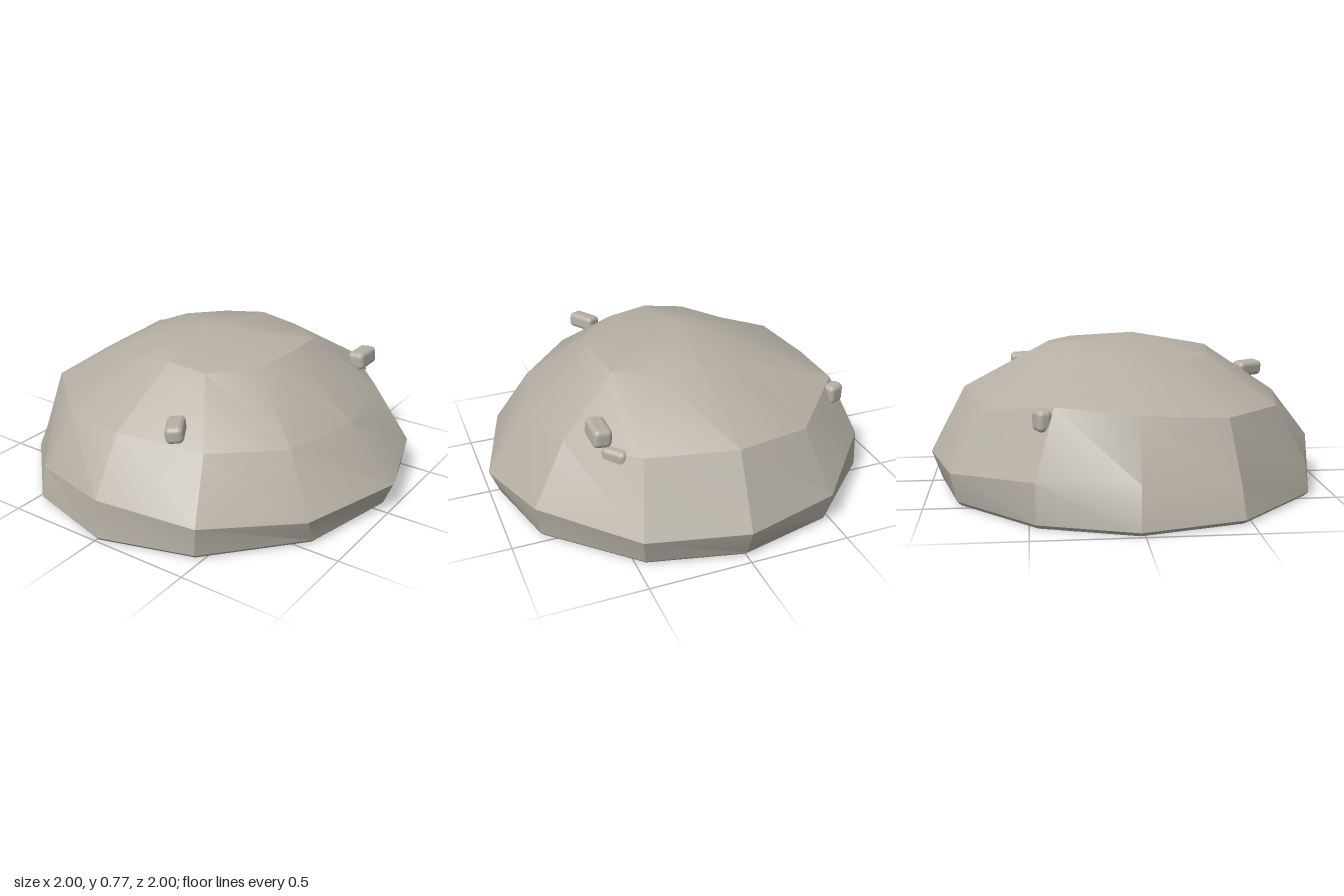
import * as THREE from 'three';
import { toCreasedNormals } from 'three/addons/utils/BufferGeometryUtils.js';
import { RoundedBoxGeometry } from 'three/addons/geometries/RoundedBoxGeometry.js';

const SIDES = 12;

// Rings of [x, z, y], starting at +x and turning towards +z
const foot = [
  [0.95, -0.05], [0.84, 0.44], [0.47, 0.86], [0.01, 1.0], [-0.46, 0.87], [-0.87, 0.47],
  [-1.0, -0.02], [-0.85, -0.47], [-0.46, -0.84], [0, -0.95], [0.46, -0.84], [0.85, -0.46],
];
const shoulder = [
  [1.0, -0.04, 0.14], [0.84, 0.5, 0.14], [0.48, 0.87, 0.165], [0, 0.98, 0.205], [-0.45, 0.85, 0.18], [-0.81, 0.46, 0.16],
  [-0.93, -0.01, 0.21], [-0.84, -0.47, 0.21], [-0.48, -0.87, 0.165], [0, -1.0, 0.16], [0.48, -0.88, 0.155], [0.87, -0.47, 0.17],
];
const waist = [
  [0.78, 0, 0.42], [0.68, 0.4, 0.42], [0.4, 0.69, 0.44], [-0.03, 0.78, 0.46], [-0.37, 0.72, 0.44], [-0.73, 0.41, 0.46],
  [-0.75, 0, 0.48], [-0.71, -0.38, 0.52], [-0.41, -0.69, 0.45], [-0.01, -0.82, 0.5], [0.41, -0.7, 0.48], [0.7, -0.4, 0.46],
];
const crown = [
  [0.43, 0, 0.71], [0.38, 0.22, 0.69], [0.2, 0.4, 0.68], [0, 0.42, 0.7], [-0.21, 0.4, 0.67], [-0.36, 0.21, 0.66],
  [-0.4, 0, 0.68], [-0.36, -0.21, 0.69], [-0.21, -0.37, 0.69], [0, -0.42, 0.71], [0.22, -0.38, 0.7], [0.41, -0.26, 0.7],
];

function boulderGeometry() {
  const rings = [
    foot.map(([x, z]) => [x * 0.98, z * 0.98, 0]),
    foot.map(([x, z]) => [x, z, 0.02]),
    shoulder, waist, crown,
  ];
  const positions = rings.flat().flatMap(([x, z, y]) => [x, y, z]);
  const apex = positions.length / 3;
  const centre = apex + 1;
  positions.push(-0.02, 0.77, 0.04, 0, 0, 0);

  const index = [];
  const last = (rings.length - 1) * SIDES;
  for (let i = 0; i < SIDES; i++) {
    const j = (i + 1) % SIDES;
    for (let low = 0; low < last; low += SIDES) {
      const up = low + SIDES;
      index.push(low + i, up + i, up + j, low + i, up + j, low + j);
    }
    index.push(last + i, apex, last + j); // top cap
    index.push(i, j, centre); // underside
  }
  const geometry = new THREE.BufferGeometry();
  geometry.setAttribute('position', new THREE.Float32BufferAttribute(positions, 3));
  geometry.setIndex(index);
  return toCreasedNormals(geometry, 0.42);
}

export function createModel() {
  const group = new THREE.Group();
  const stone = new THREE.MeshStandardMaterial({ color: 0xb5afa4 });
  stone.name = 'stone';

  const boulder = new THREE.Mesh(boulderGeometry(), stone);
  boulder.name = 'boulder';
  group.add(boulder);

  // Small stones lying on the slopes
  const pebbles = [
    { size: [0.085, 0.08, 0.16], at: [0.26, 0.53, 0.71], turn: [0, 0.55, 0.1] },
    { size: [0.09, 0.09, 0.165], at: [0.56, 0.545, -0.51], turn: [0, 0, 0.1] },
    { size: [0.065, 0.075, 0.13], at: [0.505, 0.45, -0.585], turn: [0, 0.7, 0] },
    { size: [0.095, 0.1, 0.07], at: [-0.7, 0.46, -0.435], turn: [0, 0.4, 0] },
  ];
  pebbles.forEach(({ size, at, turn }, i) => {
    const pebble = new THREE.Mesh(new RoundedBoxGeometry(...size, 3, 0.025), stone);
    pebble.name = `pebble${i + 1}`;
    pebble.position.set(...at);
    pebble.rotation.set(...turn);
    group.add(pebble);
  });
  return group;
}
